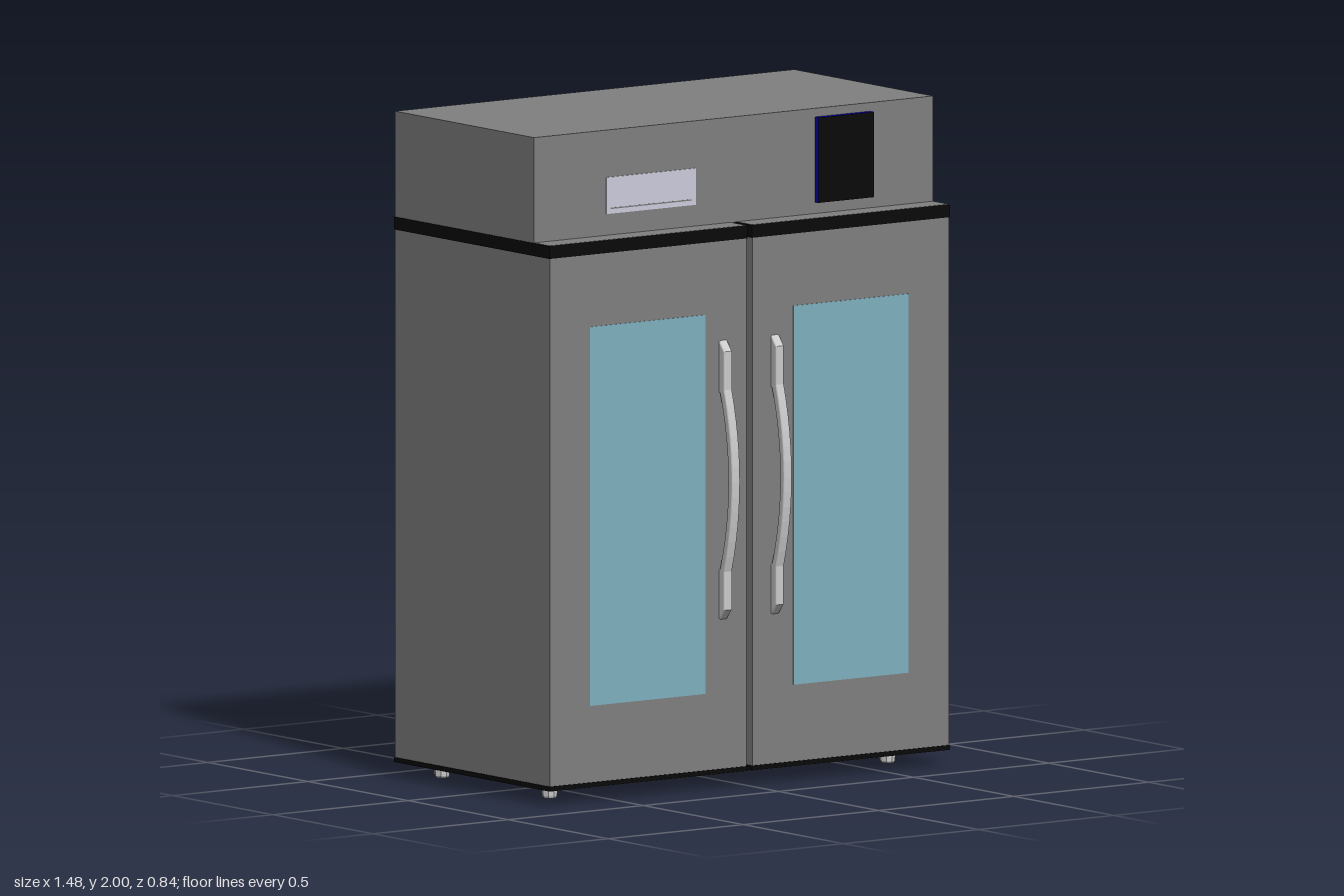
import * as THREE from 'three';

const paint = (color) => new THREE.MeshStandardMaterial({ color });

export function createModel() {
  const group = new THREE.Group();
  const grey = paint(0x808080), black = paint(0x0a0a0a), blue = paint(0x0000b0);
  const glass = paint(0x80b0c0), pale = paint(0xccccdd), metal = paint(0xcccccc);

  const add = (name, geometry, material) => {
    const mesh = new THREE.Mesh(geometry, material);
    mesh.name = name;
    group.add(mesh);
    return mesh;
  };
  // Box given by its limits on each axis
  const box = (name, [x0, x1], [y0, y1], [z0, z1], material) =>
    add(name, new THREE.BoxGeometry(x1 - x0, y1 - y0, z1 - z0)
      .translate((x0 + x1) / 2, (y0 + y1) / 2, (z0 + z1) / 2), material);

  // Cabinet plan with the slot between the doors, extruded upwards
  const slab = (name, y0, y1, grow, material) => {
    const w = 0.738 + grow, back = -0.418 - grow, front = 0.354 + grow;
    const gap = 0.011 - grow, slot = 0.276 + grow;
    const plan = new THREE.Shape([
      [-w, -front], [-gap, -front], [-gap, -slot], [gap, -slot],
      [gap, -front], [w, -front], [w, -back], [-w, -back],
    ].map(([x, y]) => new THREE.Vector2(x, y)));
    const geometry = new THREE.ExtrudeGeometry(plan, { depth: y1 - y0, bevelEnabled: false });
    return add(name, geometry.rotateX(-Math.PI / 2).translate(0, y0, 0), material);
  };
  slab('cabinetWithDoors', 0.045, 1.684, 0, grey);
  slab('upperTrim', 1.645, 1.683, 0.003, black);
  slab('lowerTrim', 0.046, 0.06, 0.003, black);

  // Machine compartment on top, with its panel and display
  box('topCompartment', [-0.738, 0.738], [1.68, 2], [-0.418, 0.276], grey);
  box('labelPanel', [-0.473, -0.142], [1.748, 1.858], [0.27, 0.279], pale);
  box('panelGroove', [-0.458, -0.157], [1.762, 1.766], [0.27, 0.2795], grey);
  box('displayHousing', [0.3, 0.505], [1.718, 1.974], [0.27, 0.294], blue);
  box('displayScreen', [0.3, 0.505], [1.718, 1.974], [0.294, 0.295], black);

  // Door windows
  box('rightWindow', [-0.59, -0.163], [0.29, 1.428], [0.34, 0.356], glass);
  box('leftWindow', [0.162, 0.587], [0.29, 1.428], [0.34, 0.356], glass);

  // Bowed handle: side profile in (z, y), extruded across its width
  const profile = new THREE.Shape();
  profile.moveTo(0.348, 0.507);
  profile.lineTo(0.356, 0.512);
  profile.lineTo(0.379, 0.54);
  profile.lineTo(0.379, 0.655);
  profile.quadraticCurveTo(0.459, 0.927, 0.379, 1.2);
  profile.lineTo(0.379, 1.315);
  profile.lineTo(0.356, 1.343);
  profile.lineTo(0.348, 1.348);
  profile.lineTo(0.348, 1.19);
  profile.lineTo(0.358, 1.19);
  profile.quadraticCurveTo(0.442, 0.927, 0.358, 0.66);
  profile.lineTo(0.348, 0.66);
  const handle = new THREE.ExtrudeGeometry(profile, {
    depth: 0.018, curveSegments: 12, bevelThickness: 0.006, bevelSize: 0.005,
    bevelOffset: -0.003, bevelSegments: 3,
  }).translate(0, 0, -0.009).rotateY(-Math.PI / 2);
  // The turn sends profile z to +z
  for (const [name, x] of [['rightHandle', -0.097], ['leftHandle', 0.095]]) {
    add(name, handle, metal).position.x = x;
  }

  // Four feet with a small chamfer at the floor
  const foot = new THREE.LatheGeometry([
    [0, 0], [0.02, 0], [0.023, 0.006], [0.025, 0.046], [0, 0.046],
  ].map(([r, y]) => new THREE.Vector2(r, y)), 8).toNonIndexed();
  foot.computeVertexNormals();
  for (const x of [-0.625, 0.625]) {
    for (const z of [0.2, -0.337]) add('foot', foot, metal).position.set(x, 0, z);
  }
  return group;
}
